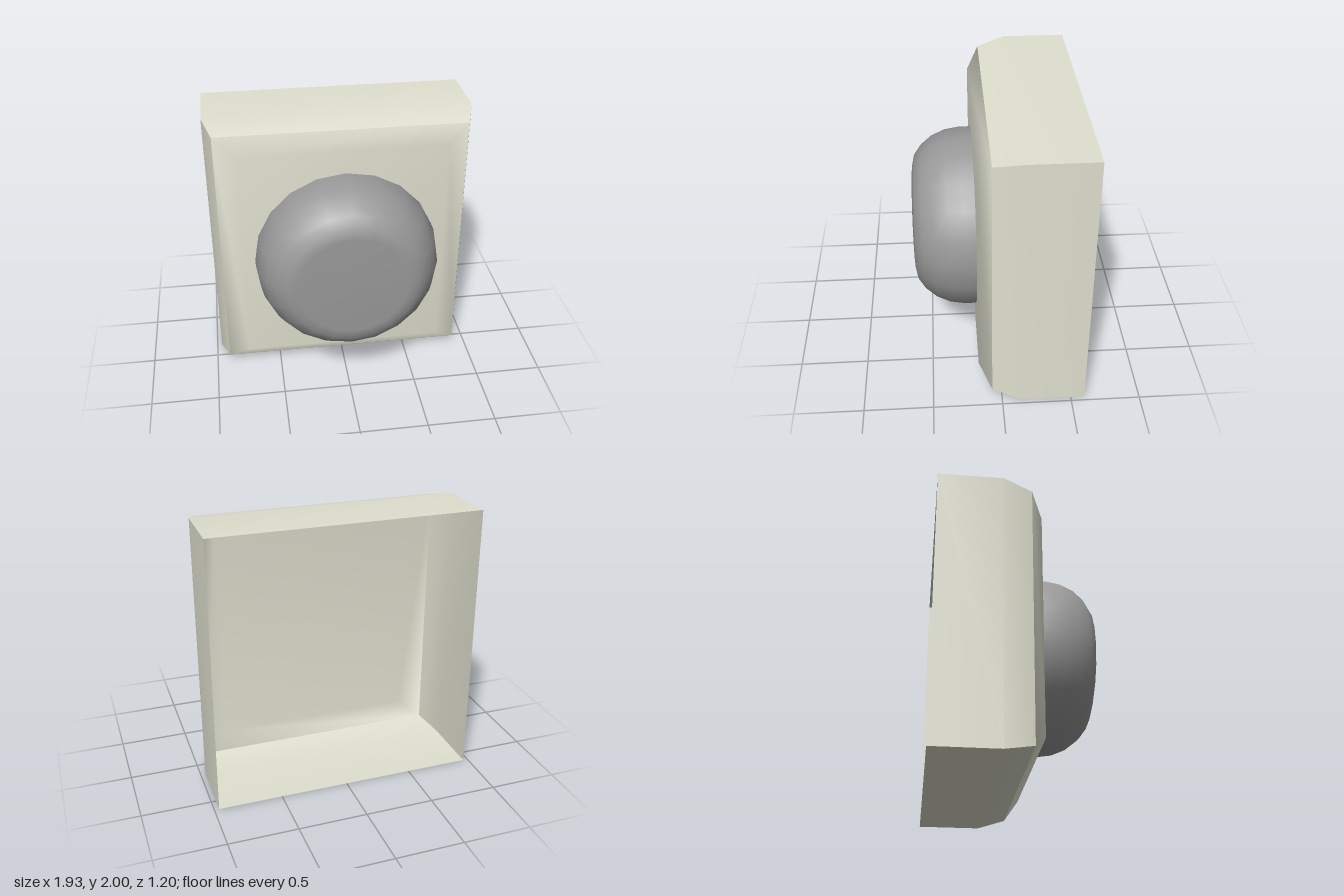
import * as THREE from 'three';

// Rectangular sections of the housing: half width, half height, z
const sections = [[0.965, 1, -0.6], [0.965, 1, -0.135], [0.9, 0.95, 0.07], [0.74, 0.835, 0.16]];
const signs = [[-1, -1], [1, -1], [1, 1], [-1, 1]];

const corner = ([w, h, z], i) => [signs[i % 4][0] * w, 1 + signs[i % 4][1] * h, z];

function surface(points, index) {
  const g = new THREE.BufferGeometry();
  g.setAttribute('position', new THREE.Float32BufferAttribute(points.flat(), 3));
  g.setIndex(index);
  g.computeVertexNormals();
  return g;
}

// One wall: smooth along its depth, sharp against its neighbours
function wallGeometry(side) {
  const points = [], index = [];
  sections.slice(0, 3).forEach((s, k) => {
    points.push(corner(s, side), corner(s, side + 1));
    if (k) {
      const a = 2 * k - 2;
      index.push(a, a + 1, a + 3, a, a + 3, a + 2);
    }
  });
  return surface(points, index);
}

// Front panel: soft bevel around a flat centre
function panelGeometry() {
  const points = [], index = [4, 5, 6, 4, 6, 7];
  for (const s of sections.slice(2)) for (let i = 0; i < 4; i++) points.push(corner(s, i));
  for (let i = 0; i < 4; i++) {
    const j = (i + 1) % 4;
    index.push(i, j, j + 4, i, j + 4, i + 4);
  }
  return surface(points, index);
}

export function createModel() {
  const model = new THREE.Group();
  const shell = new THREE.MeshStandardMaterial({ color: 0xdfe0cf, side: THREE.DoubleSide });
  const grey = new THREE.MeshStandardMaterial({ color: 0x999999, side: THREE.DoubleSide });

  // Housing, open at the back
  const housing = new THREE.Group();
  housing.name = 'housing';
  ['bottomWall', 'leftWall', 'topWall', 'rightWall'].forEach((name, i) => {
    const wall = new THREE.Mesh(wallGeometry(i), shell);
    wall.name = name;
    housing.add(wall);
  });
  const panel = new THREE.Mesh(panelGeometry(), shell);
  panel.name = 'frontPanel';
  housing.add(panel);
  model.add(housing);

  // Rounded knob with a flat face
  const profile = [[0.665, 0.16], [0.665, 0.24], [0.648, 0.35], [0.605, 0.45], [0.54, 0.53],
    [0.47, 0.58], [0.39, 0.597], [0, 0.6]].map(([r, z]) => new THREE.Vector2(r, z));
  const knob = new THREE.Mesh(new THREE.LatheGeometry(profile, 20).rotateX(Math.PI / 2), grey);
  knob.name = 'knob';
  knob.position.set(0.01, 0.995, 0);
  model.add(knob);
  return model;
}
